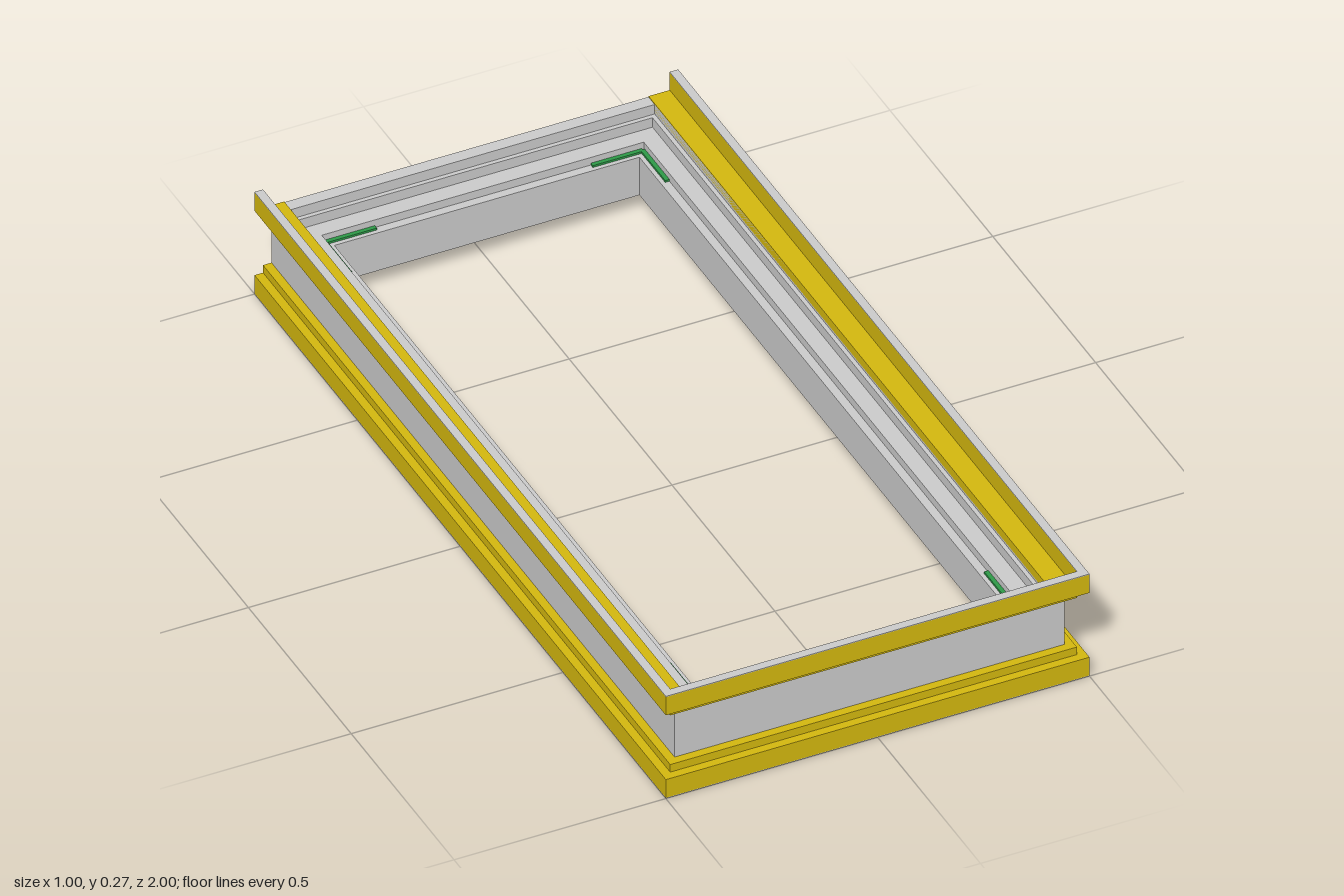
import * as THREE from 'three';

const HALF_X = 0.46, BACK = -1, FRONT = 0.96, HEIGHT = 0.27;

const grey = new THREE.MeshStandardMaterial({ color: 0xcccccc, flatShading: true });
const yellow = new THREE.MeshStandardMaterial({ color: 0xd4b80f, flatShading: true });
const green = new THREE.MeshStandardMaterial({ color: 0x2e9a48, flatShading: true });

// Sweeps a counter-clockwise profile of [outward offset, y] round the frame with mitred
// corners. Closed: all four sides. Open: left, front and right, cut flush at the back.
function sweep(profile, closed) {
  const rings = [[-1, 0], [-1, 1], [1, 1], [1, 0]].map(([sx, atFront]) =>
    profile.map(([d, y]) => new THREE.Vector3(
      sx * (HALF_X + d), y, atFront ? FRONT + d : BACK - (closed ? d : 0))));
  const pts = [];
  const n = profile.length;
  for (let k = 0; k < (closed ? 4 : 3); k++) {
    const p = rings[k], q = rings[(k + 1) % 4];
    for (let i = 0; i < n; i++) {
      const j = (i + 1) % n;
      pts.push(p[i], q[i], q[j], p[i], q[j], p[j]);
    }
  }
  // End caps
  if (!closed) {
    const flat = profile.map(([d, y]) => new THREE.Vector2(d, y));
    for (const [a, b, c] of THREE.ShapeUtils.triangulateShape(flat, [])) {
      pts.push(rings[0][a], rings[0][b], rings[0][c]);
      pts.push(rings[3][a], rings[3][c], rings[3][b]);
    }
  }
  const geometry = new THREE.BufferGeometry().setFromPoints(pts);
  geometry.computeVertexNormals();
  return geometry;
}

const mirrorY = (profile) => profile.map(([d, y]) => [d, HEIGHT - y]).reverse();

export function createModel() {
  const model = new THREE.Group();
  model.name = 'rectangularFrame';
  const add = (name, geometry, material) => {
    const mesh = new THREE.Mesh(geometry, material);
    mesh.name = name;
    model.add(mesh);
    return mesh;
  };

  // Main body: plain outside wall, stepped down towards the opening
  add('frameBody', sweep([
    [-0.10, 0.05], [0, 0.05], [0, 0.22], [-0.03, 0.22], [-0.03, 0.195], [-0.04, 0.195],
    [-0.04, 0.17], [-0.08, 0.17], [-0.08, 0.15], [-0.10, 0.15],
  ], true), grey);

  // Stepped flanges with an upright lip, above and below, on three sides
  const flange = [
    [-0.03, 0.20], [0.02, 0.20], [0.02, 0.22], [0.04, 0.22],
    [0.04, 0.268], [0.02, 0.268], [0.02, 0.222], [-0.03, 0.222],
  ];
  add('upperFlange', sweep(flange, false), yellow);
  add('lowerFlange', sweep(mirrorY(flange), false), yellow);

  // Pale edging along the lips
  const edging = [[0.02, 0.268], [0.04, 0.268], [0.04, 0.27], [0.02, 0.27]];
  add('upperLipEdge', sweep(edging, false), grey);
  add('lowerLipEdge', sweep(mirrorY(edging), false), grey);

  // Small pads in the corners of the inner ledge
  for (const sx of [-1, 1]) {
    for (const [z, sz] of [[BACK + 0.085, 1], [FRONT - 0.085, -1]]) {
      const x = sx * (HALF_X - 0.085);
      add('cornerPadLong', new THREE.BoxGeometry(0.01, 0.006, 0.12), green)
        .position.set(x, 0.152, z + sz * 0.06);
      add('cornerPadShort', new THREE.BoxGeometry(0.12, 0.006, 0.01), green)
        .position.set(x - sx * 0.06, 0.152, z);
    }
  }
  return model;
}
